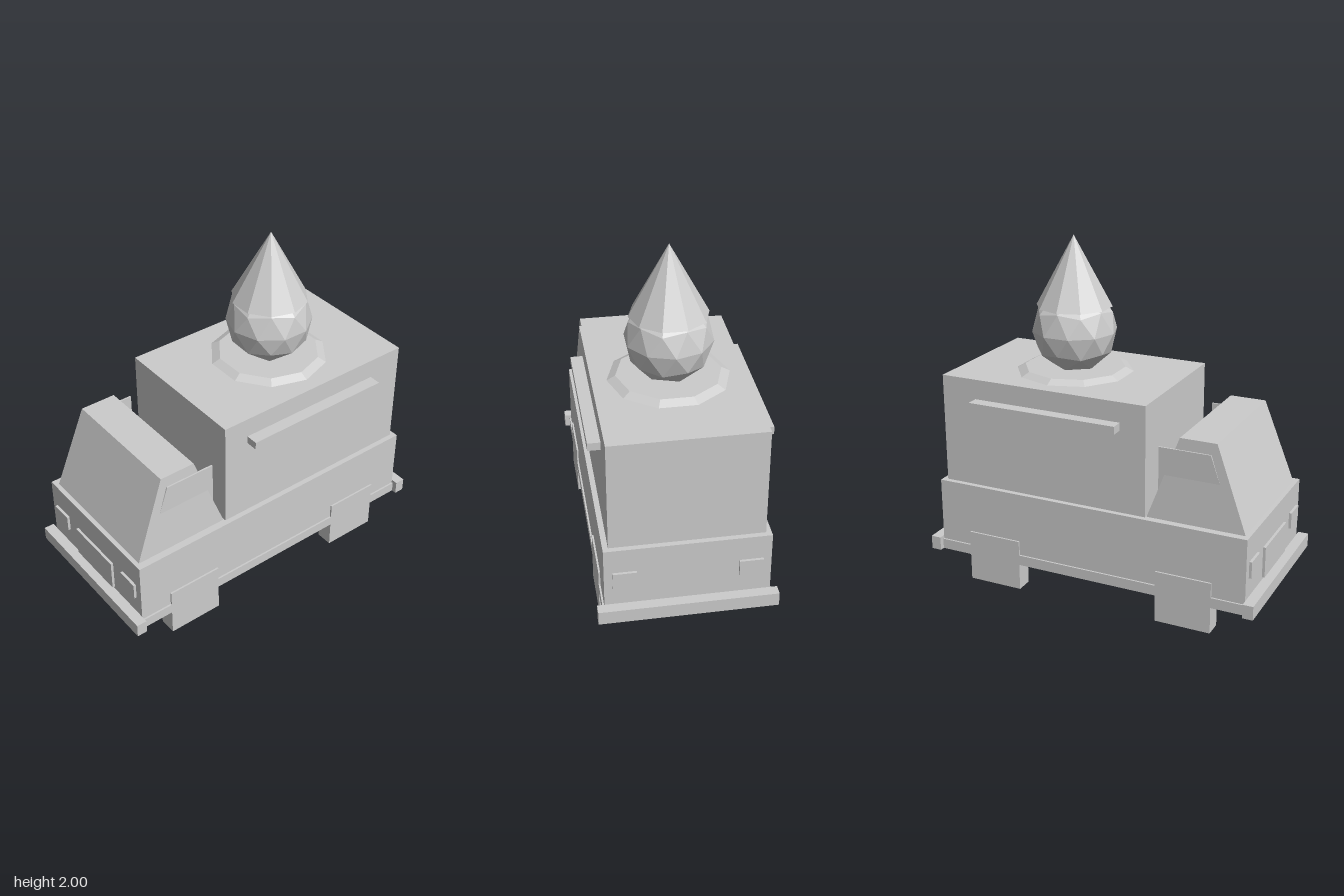
import * as THREE from 'three';

export function createModel() {
  const model = new THREE.Group();
  const grey = new THREE.MeshStandardMaterial({ color: 0xcccccc, flatShading: true });
  grey.name = 'plain grey';

  function add(name, geometry) {
    const mesh = new THREE.Mesh(geometry, grey);
    mesh.name = name;
    model.add(mesh);
    return mesh;
  }

  // Box given by its limits along each axis
  function box(name, x0, x1, y0, y1, z0, z1) {
    const g = new THREE.BoxGeometry(x1 - x0, y1 - y0, z1 - z0);
    g.translate((x0 + x1) / 2, (y0 + y1) / 2, (z0 + z1) / 2);
    return add(name, g);
  }

  // The same box on both sides
  function pair(name, x0, x1, y0, y1, z0, z1) {
    box(name + 'Left', x0, x1, y0, y1, z0, z1);
    box(name + 'Right', -x1, -x0, y0, y1, z0, z1);
  }

  // Lower body, cargo box and skirts
  box('lowerBody', -0.45, 0.45, 0.18, 0.59, -0.94, 0.94);
  box('cargoBox', -0.42, 0.42, 0.59, 1.225, -0.91, 0.345);
  pair('skirt', 0.44, 0.46, 0.155, 0.215, -0.94, 0.94);

  // Cab: a box narrowed towards its roof
  const cab = new THREE.BoxGeometry(2, 1, 2);
  const p = cab.attributes.position;
  for (let i = 0; i < p.count; i++) {
    const top = p.getY(i) > 0;
    const front = p.getZ(i) > 0;
    const z = top ? (front ? 0.735 : 0.525) : (front ? 0.915 : 0.35);
    p.setXYZ(i, p.getX(i) * (top ? 0.382 : 0.408), top ? 1.065 : 0.59, z);
  }
  cab.computeVertexNormals();
  add('cab', cab);

  // Side windows, half sunk into the sloping cab sides
  const pane = new THREE.Shape([
    new THREE.Vector2(0.41, 0.7), new THREE.Vector2(0.81, 0.7),
    new THREE.Vector2(0.705, 1.0), new THREE.Vector2(0.41, 1.0),
  ]);
  for (const [name, x] of [['sideWindowLeft', 0.384], ['sideWindowRight', -0.394]]) {
    const g = new THREE.ExtrudeGeometry(pane, { depth: 0.01, bevelEnabled: false });
    // Profile x becomes z, and depth runs along -x
    g.rotateY(-Math.PI / 2);
    g.translate(x + 0.01, 0, 0);
    add(name, g);
  }

  // Bumpers, lamps and grille
  box('frontBumper', -0.49, 0.49, 0.155, 0.235, 0.94, 1.0);
  box('rearBumper', -0.49, 0.49, 0.155, 0.235, -1.0, -0.94);
  pair('headlight', 0.275, 0.405, 0.35, 0.445, 0.94, 0.955);
  pair('tailLight', 0.275, 0.405, 0.35, 0.445, -0.955, -0.94);
  box('grille', -0.18, 0.18, 0.25, 0.43, 0.94, 0.955);

  // Square wheels with their arches
  pair('frontWheel', 0.36, 0.46, 0, 0.3, 0.425, 0.75);
  pair('rearWheel', 0.36, 0.46, 0, 0.3, -0.75, -0.425);

  // Rolled awnings along the cargo box
  pair('awning', 0.42, 0.49, 1.065, 1.11, -0.7, 0.195);

  // Upturned ice cream on the roof: puddle, scoop and cone
  const puddle = add('puddle', new THREE.CylinderGeometry(0.29, 0.337, 0.025, 10));
  puddle.position.set(0, 1.2375, -0.285);
  puddle.rotation.y = Math.PI / 2;

  const ball = new THREE.IcosahedronGeometry(0.243, 1);
  ball.rotateZ(-Math.atan(2 / (1 + Math.sqrt(5))));
  add('scoop', ball).position.set(0, 1.46, -0.285);

  const cone = add('cone', new THREE.ConeGeometry(0.217, 0.4, 10));
  cone.position.set(0, 1.8, -0.285);
  cone.rotation.y = Math.PI / 2;

  return model;
}
